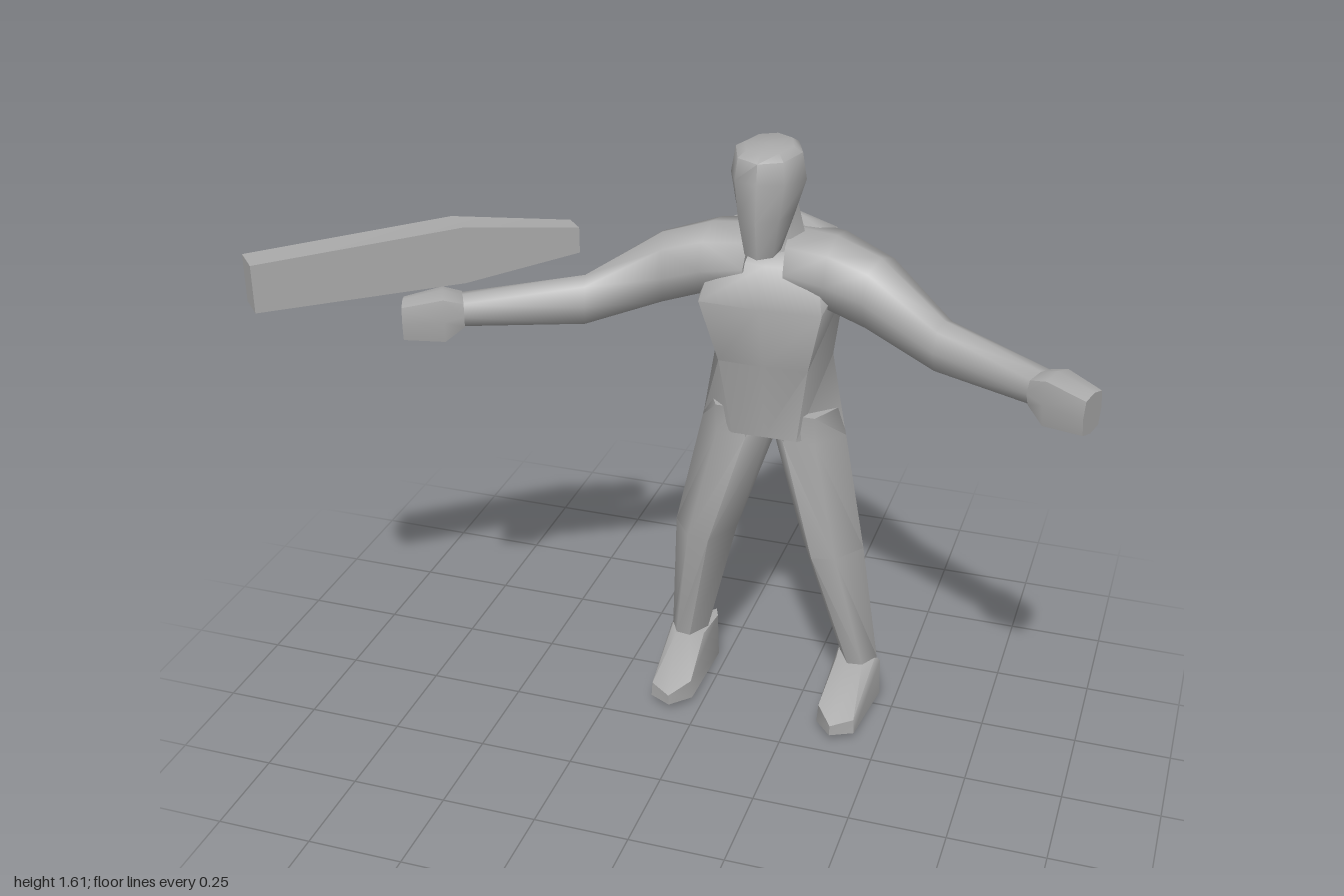
import * as THREE from 'three';
import { toCreasedNormals } from 'three/addons/utils/BufferGeometryUtils.js';

const CX = 0.15; // the figure stands to the left of the origin

// Skin a list of equal-sized point rings, cap both ends, face outwards
function loft(rings, crease = 1.0) {
  const n = rings[0].length, pos = rings.flat(2), idx = [];
  for (let r = 0; r < rings.length - 1; r++) {
    for (let i = 0; i < n; i++) {
      const j = (i + 1) % n, a = r * n, b = a + n;
      idx.push(a + i, a + j, b + j, a + i, b + j, b + i);
    }
  }
  [0, rings.length - 1].forEach((r, end) => {
    const c = pos.length / 3;
    for (let k = 0; k < 3; k++) pos.push(rings[r].reduce((s, p) => s + p[k], 0) / n);
    for (let i = 0; i < n; i++) {
      const a = r * n + i, b = r * n + (i + 1) % n;
      if (end) idx.push(c, a, b); else idx.push(c, b, a);
    }
  });
  // a negative volume means the corners run the wrong way round
  const at = i => new THREE.Vector3().fromArray(pos, i * 3);
  let vol = 0;
  for (let i = 0; i < idx.length; i += 3) vol += at(idx[i]).dot(at(idx[i + 1]).cross(at(idx[i + 2])));
  if (vol < 0) idx.reverse();
  const g = new THREE.BufferGeometry();
  g.setAttribute('position', new THREE.Float32BufferAttribute(pos, 3));
  g.setIndex(idx);
  return toCreasedNormals(g, crease);
}

// Symmetric level ring from its left half [x, z], front to back, tilting from yFront to yBack
function bodyRing(yFront, yBack, half) {
  const zf = half[0][1], zb = half[half.length - 1][1];
  const pts = half.map(([x, z]) => [CX + x, yFront + (yBack - yFront) * (zf - z) / (zf - zb), z]);
  const other = pts.slice(1, -1).reverse().map(([x, y, z]) => [2 * CX - x, y, z]);
  return [...pts, ...other];
}

// Upright ring of a limb spanning a front and a back point and two heights
function armRing(s, [fx, fz], [bx, bz], top, bottom, power = 0.8) {
  const soft = v => Math.sign(v) * Math.abs(v) ** power;
  return Array.from({ length: 8 }, (_, i) => {
    const a = (i / 8) * Math.PI * 2;
    const t = 0.5 + 0.5 * soft(Math.cos(a)), u = 0.5 + 0.5 * soft(Math.sin(a));
    return [CX + s * (bx + (fx - bx) * t), bottom + (top - bottom) * u, bz + (fz - bz) * t];
  });
}

// Level ring of a leg or foot from [x, z] corners
const legRing = (s, y, pts) => pts.map(([x, z]) => [CX + s * x, y, z]);

export function createModel() {
  const model = new THREE.Group();
  const grey = new THREE.MeshStandardMaterial({ color: 0xaaaaaa });
  grey.name = 'plain grey';
  const add = (name, geometry) => {
    const mesh = new THREE.Mesh(geometry, grey);
    mesh.name = name;
    model.add(mesh);
  };

  // Torso, with a flat front and a ridged back
  add('torso', loft([
    bodyRing(0.83, 0.82, [[0, -0.145], [0.085, -0.145], [0.19, -0.24], [0.12, -0.33], [0, -0.405]]),
    bodyRing(1.04, 1.06, [[0, -0.115], [0.115, -0.12], [0.152, -0.23], [0.11, -0.32], [0, -0.37]]),
    bodyRing(1.21, 1.26, [[0, -0.075], [0.155, -0.08], [0.18, -0.2], [0.15, -0.3], [0, -0.37]]),
    bodyRing(1.31, 1.36, [[0, -0.11], [0.13, -0.12], [0.2, -0.2], [0.13, -0.31], [0, -0.34]]),
    bodyRing(1.33, 1.39, [[0, -0.14], [0.06, -0.16], [0.085, -0.22], [0.05, -0.29], [0, -0.32]]),
  ], 1.2));

  // Neck and head
  add('neck', loft([
    bodyRing(1.31, 1.34, [[0, -0.13], [0.06, -0.16], [0.085, -0.22], [0.04, -0.265], [0, -0.295]]),
    bodyRing(1.36, 1.38, [[0, -0.15], [0.05, -0.17], [0.075, -0.21], [0.04, -0.255], [0, -0.28]]),
    bodyRing(1.47, 1.47, [[0, -0.13], [0.05, -0.15], [0.06, -0.18], [0.035, -0.22], [0, -0.235]]),
  ]));
  add('head', loft([
    bodyRing(1.35, 1.375, [[0, -0.047], [0.035, -0.065], [0.045, -0.1], [0.03, -0.14], [0, -0.16]]),
    bodyRing(1.45, 1.455, [[0, -0.025], [0.05, -0.055], [0.072, -0.12], [0.05, -0.2], [0, -0.232]]),
    bodyRing(1.54, 1.52, [[0, -0.033], [0.06, -0.06], [0.093, -0.14], [0.065, -0.22], [0, -0.26]]),
    bodyRing(1.59, 1.6, [[0, -0.038], [0.055, -0.065], [0.082, -0.14], [0.055, -0.205], [0, -0.235]]),
    bodyRing(1.605, 1.61, [[0, -0.07], [0.04, -0.085], [0.06, -0.14], [0.04, -0.195], [0, -0.215]]),
  ]));

  for (const [side, s] of [['left', 1], ['right', -1]]) {
    // Arm reaching out and forward, ending in a fist
    add(side + 'Arm', loft([
      armRing(s, [0.05, -0.1], [0.02, -0.36], 1.375, 1.22),
      armRing(s, [0.155, -0.08], [0.16, -0.32], 1.375, 1.2),
      armRing(s, [0.25, -0.085], [0.3, -0.245], 1.345, 1.165),
      armRing(s, [0.435, -0.035], [0.465, -0.135], 1.24, 1.11),
      armRing(s, [0.69, 0.14], [0.735, 0.05], 1.225, 1.15),
    ], 1.2));
    add(side + 'Hand', loft([
      armRing(s, [0.68, 0.135], [0.725, 0.045], 1.225, 1.15, 0.6),
      armRing(s, [0.72, 0.165], [0.765, 0.07], 1.245, 1.115, 0.5),
      armRing(s, [0.815, 0.2], [0.845, 0.12], 1.225, 1.125, 0.5),
    ], 0.8));

    // Leg: front, front outer, outer, back outer, back inner, inner
    add(side + 'Leg', loft([
      legRing(s, 0.9, [[0.06, -0.15], [0.13, -0.15], [0.175, -0.24], [0.11, -0.33], [0.005, -0.39], [0.005, -0.25]]),
      legRing(s, 0.82, [[0.05, -0.148], [0.13, -0.16], [0.192, -0.24], [0.13, -0.33], [0.003, -0.403], [0.003, -0.22]]),
      legRing(s, 0.51, [[0.14, -0.122], [0.2, -0.135], [0.257, -0.215], [0.22, -0.3], [0.13, -0.312], [0.09, -0.22]]),
      legRing(s, 0.13, [[0.225, -0.23], [0.265, -0.235], [0.293, -0.29], [0.26, -0.34], [0.2, -0.36], [0.19, -0.29]]),
      legRing(s, 0.03, [[0.225, -0.22], [0.27, -0.23], [0.3, -0.28], [0.27, -0.33], [0.195, -0.375], [0.18, -0.3]]),
    ], 1.2));

    // Foot: level sole, instep sloping from ankle to toe
    const sole = [[0.225, -0.043], [0.285, -0.075], [0.305, -0.3], [0.19, -0.382], [0.176, -0.35], [0.176, -0.1]];
    const rise = [0.05, 0.06, 0.11, 0.13, 0.13, 0.07];
    const foot = (h, inset) => sole.map(([x, z], i) => [
      CX + s * (0.24 + (x - 0.24) * inset), h * rise[i] + (z + 0.382) * 0.06 * (1 - h), z]);
    const instep = legRing(s, 0.13, [[0.225, -0.225], [0.265, -0.235], [0.29, -0.29], [0.2, -0.36], [0.19, -0.34], [0.19, -0.25]]);
    add(side + 'Foot', loft([foot(0, 1), foot(1, 0.94), instep], 0.9));
  }

  // Long block floating over the right arm: [x, z, half width, bottom, top]
  add('longBlock', loft([
    [-0.972, 0.365, 0.04, 1.25, 1.37],
    [-0.565, 0.07, 0.042, 1.262, 1.405],
    [-0.325, -0.09, 0.029, 1.305, 1.37],
  ].map(([x, z, w, low, high]) => {
    const dx = 0.68 * w, dz = 0.74 * w;
    return [[x - dx, low, z - dz], [x + dx, low, z + dz], [x + dx, high, z + dz], [x - dx, high, z - dz]];
  }), 0.6));

  return model;
}
